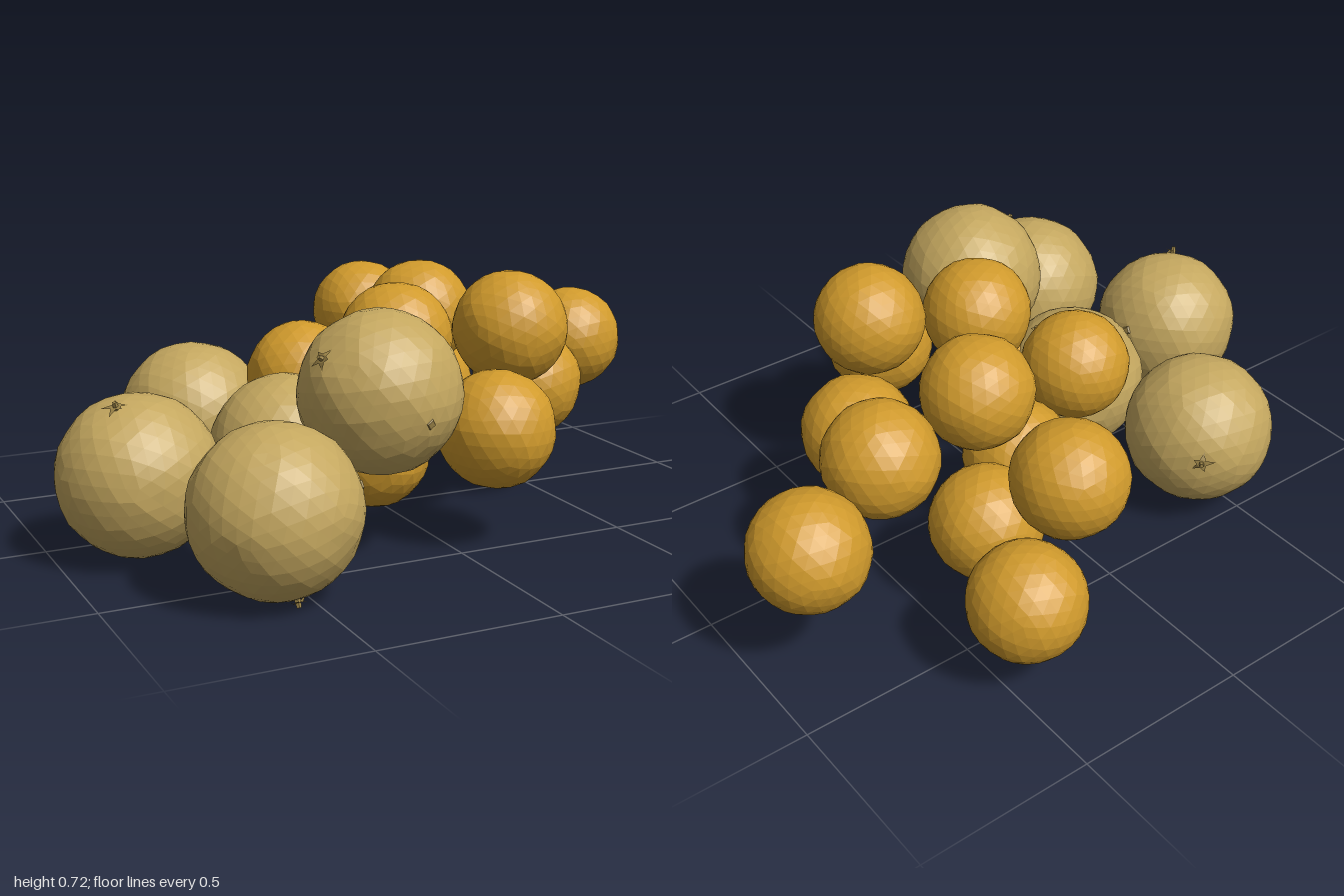
import * as THREE from 'three';

const mat = (name, color, extra = {}) => {
  const m = new THREE.MeshStandardMaterial({ color, flatShading: true, ...extra });
  m.name = name;
  return m;
};

// Faceted ball with gentle lumps, varied by seed
function lumpyBall(radius, detail, seed) {
  const geo = new THREE.IcosahedronGeometry(1, detail);
  geo.rotateX(seed * 1.7).rotateY(seed * 2.3);
  const p = geo.attributes.position;
  const v = new THREE.Vector3();
  for (let i = 0; i < p.count; i++) {
    v.fromBufferAttribute(p, i);
    const lump = Math.sin(v.x * 5 + seed) * Math.sin(v.y * 6 + seed * 2) * Math.sin(v.z * 5 - seed);
    const grain = Math.sin(v.x * 17 + v.y * 13 + seed) * Math.cos(v.z * 19 - v.y * 7);
    v.multiplyScalar(radius * (1 + 0.014 * lump + 0.007 * grain));
    p.setXYZ(i, v.x, v.y, v.z);
  }
  geo.computeVertexNormals();
  return geo;
}

// Ragged five-leaf cap: a star whose tips curl up and down
function leafCap() {
  const star = new THREE.Shape();
  for (let i = 0; i < 10; i++) {
    const a = (i / 10) * Math.PI * 2;
    const r = i % 2 ? 0.014 : 0.034 + 0.008 * Math.sin(i * 2.1);
    star[i ? 'lineTo' : 'moveTo'](Math.cos(a) * r, Math.sin(a) * r);
  }
  const geo = new THREE.ShapeGeometry(star);
  geo.rotateX(-Math.PI / 2);
  const p = geo.attributes.position;
  for (let i = 0; i < p.count; i++) {
    const r = Math.hypot(p.getX(i), p.getZ(i));
    p.setY(i, r > 0.02 ? 0.008 * Math.sin(i * 1.9) : 0.004);
  }
  geo.computeVertexNormals();
  return geo;
}

// Places an object on a ball, its y axis pointing outwards
function seat(object, radius, direction) {
  const d = new THREE.Vector3(...direction).normalize();
  object.position.copy(d).multiplyScalar(radius);
  object.quaternion.setFromUnitVectors(new THREE.Vector3(0, 1, 0), d);
  return object;
}

export function createModel() {
  const model = new THREE.Group();
  model.name = 'fruitPile';
  const tan = mat('pale olive skin', 0xc4a75f);
  const orange = mat('orange skin', 0xd09a2c);
  const leaf = mat('dry leaf', 0x9c8448, { side: THREE.DoubleSide });

  const add = (parent, name, geo, material) => {
    const mesh = new THREE.Mesh(geo, material);
    mesh.name = name;
    parent.add(mesh);
    return mesh;
  };

  // Large fruit: x, y, z, radius, stem direction, blossom-end direction
  const large = [
    [-0.78, 0.22, 0.145, 0.22, [-0.07, 0.2, 0.06], [0.21, 0.06, -0.04]],
    [-0.575, 0.22, 0.595, 0.222, [0.02, -0.2, 0.08], [0.21, 0.05, 0.045]],
    [-0.22, 0.452, 0.45, 0.217, [-0.18, 0.11, 0.05], [0.04, -0.045, 0.21]],
    [-0.445, 0.235, -0.365, 0.217, [0.14, 0.03, -0.16], [-0.1, -0.18, 0.05]],
    [-0.33, 0.218, 0.08, 0.216, [0.1, 0.185, 0.04], [0.19, -0.09, -0.035]],
  ];
  large.forEach(([x, y, z, r, stemDir, endDir], i) => {
    const fruit = new THREE.Group();
    fruit.name = 'largeFruit';
    fruit.position.set(x, y, z);
    add(fruit, 'largeFruitBody', lumpyBall(r, 5, i + 1), tan);
    const cap = new THREE.Group();
    cap.name = 'stemCap';
    add(cap, 'capLeaves', leafCap(), leaf);
    add(cap, 'stalk', new THREE.CylinderGeometry(0.006, 0.009, 0.022, 5), leaf).position.y = 0.006;
    fruit.add(seat(cap, r + 0.003, stemDir));
    const end = add(fruit, 'blossomEnd', new THREE.CylinderGeometry(0.012, 0.018, 0.008, 4), leaf);
    seat(end, r, endDir);
    model.add(fruit);
  });

  // Small fruit: x, y, z, radius
  const small = [
    [0.425, 0.245, -0.66, 0.16],
    [0.205, 0.47, -0.555, 0.159],
    [0.325, 0.255, -0.355, 0.159],
    [0.055, 0.235, -0.14, 0.16],
    [0.21, 0.525, -0.163, 0.16],
    [0.54, 0.46, -0.178, 0.161],
    [0.835, 0.373, -0.288, 0.163],
    [0.435, 0.34, 0.1, 0.162],
    [0.262, 0.552, 0.29, 0.161],
    [0.115, 0.32, 0.475, 0.161],
    [-0.033, 0.523, 0.168, 0.16],
    [-0.217, 0.39, -0.065, 0.16],
    [-0.135, 0.23, 0.23, 0.158],
  ];
  small.forEach(([x, y, z, r], i) => {
    const geo = lumpyBall(r, 4, i + 7);
    add(model, 'smallFruit', geo, orange).position.set(x, y, z);
  });

  return model;
}
